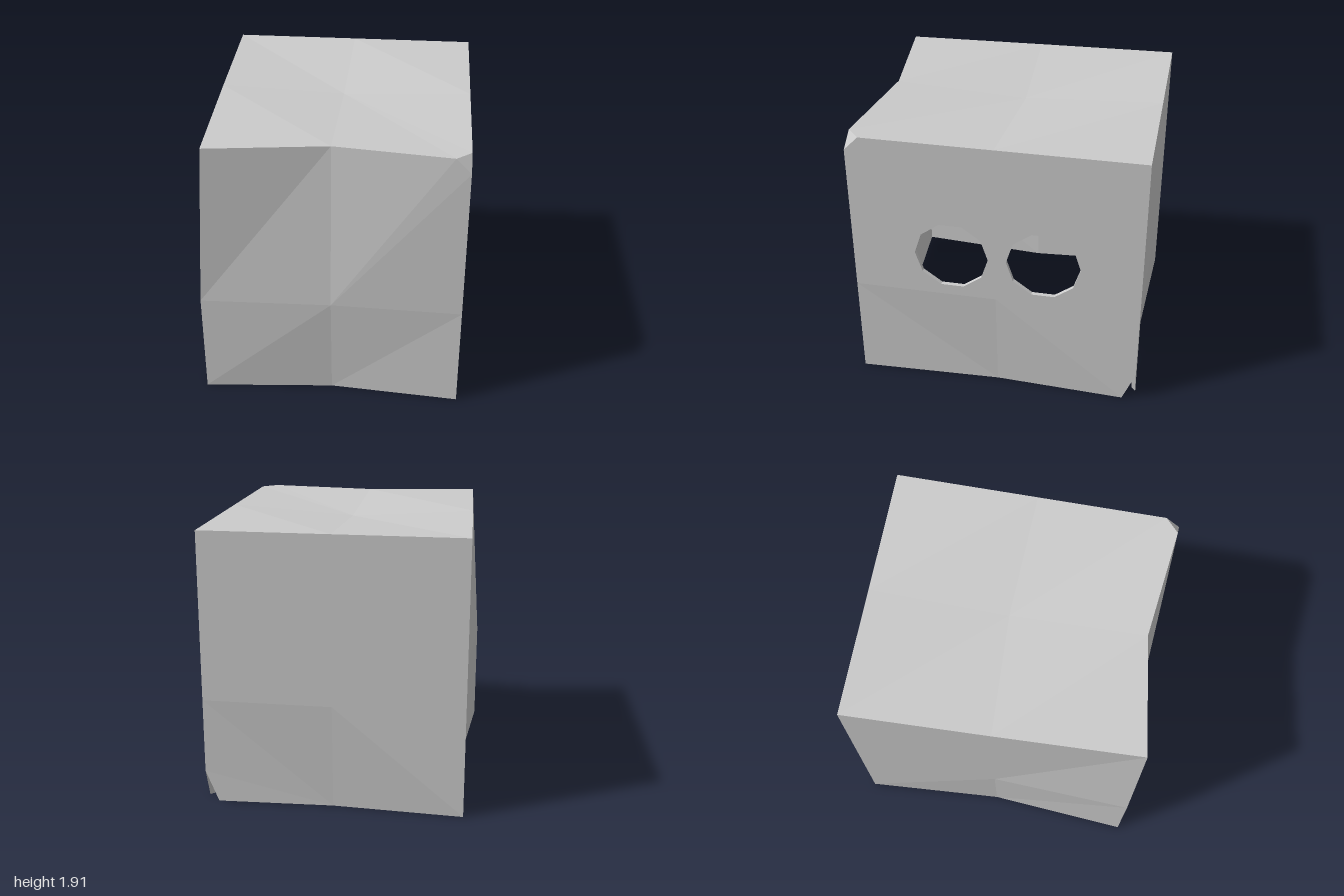
import * as THREE from 'three';

const WALL = 0.03;
const GRID = [[-0.895, 0, 0.89], [0, 0.74, 1.91], [-1, 0, 1]];

// Lattice points pushed out of the plain box, keyed by x, y, z index
const DENTS = {
  '1,2,2': [0, 1.91, 0.89], '1,1,2': [0, 0.74, 0.975], '1,0,2': [0, 0, 0.93],
  '0,2,2': [-0.82, 1.91, 1], '0,2,1': [-0.86, 1.91, 0], '0,1,1': [-0.855, 0.74, 0],
  '0,0,1': [-0.825, 0, 0], '2,0,1': [0.85, 0, 0], '1,0,0': [0, 0, -0.96],
  '1,2,1': [0, 1.86, -0.04],
};

// Cut corners: the point left on the x, y and z edge of each
const CUTS = {
  '2,2,2': [[0.79, 1.91, 0.99], [0.89, 1.81, 1], [0.89, 1.91, 0.9]],
  '2,0,0': [[0.8, 0, -1], [0.89, 0.22, -1], [0.89, 0, -0.91]],
};

const vec = (a) => new THREE.Vector3(...a);
const lattice = (id) => vec(DENTS[id.join()] || id.map((n, axis) => GRID[axis][n]));

// Matching point on the inner skin
function inset(p) {
  const shift = (n, limit) => (Math.abs(n) > limit ? n - Math.sign(n) * WALL : n);
  return new THREE.Vector3(shift(p.x, 0.75), shift(p.y, 1.8), shift(p.z, 0.75));
}

function makeMesh(name, points) {
  const geometry = new THREE.BufferGeometry().setFromPoints(points);
  geometry.computeVertexNormals();
  const material = new THREE.MeshStandardMaterial({
    color: 0xcccccc, flatShading: true, side: THREE.DoubleSide,
  });
  const mesh = new THREE.Mesh(geometry, material);
  mesh.name = name;
  return mesh;
}

// Triangle on the outer skin and its reversed twin on the inner skin
function addTriangle(out, a, b, c) {
  out.push(a, b, c, inset(a), inset(c), inset(b));
}

// Strip joining the outer and inner skins along a closed loop
function rim(name, loop) {
  const out = [];
  loop.forEach((a, i) => {
    const b = loop[(i + 1) % loop.length];
    out.push(a, b, inset(b), a, inset(b), inset(a));
  });
  return makeMesh(name, out);
}

// Outline of one wall quarter, with cut corners swapped for two points
function outline(ids) {
  return ids.flatMap((id, i) => {
    const cut = CUTS[id.join()];
    if (!cut) return [lattice(id)];
    return [ids[(i + 3) % 4], ids[(i + 1) % 4]].map(
      (other) => vec(cut[id.findIndex((n, axis) => n !== other[axis])]));
  });
}

// One wall made of four quarters, each optionally with a hole
function wall(name, axis, side, holeFor) {
  const u = (axis + 1) % 3, v = (axis + 2) % 3;
  const flat = (p) => new THREE.Vector2(p.getComponent(u), p.getComponent(v));
  const out = [];
  for (let i = 0; i < 2; i++) for (let j = 0; j < 2; j++) {
    const ids = [[i, j], [i + 1, j], [i + 1, j + 1], [i, j + 1]].map(([m, n]) => {
      const id = [0, 0, 0];
      id[axis] = side; id[u] = m; id[v] = n;
      return id;
    });
    const contour = outline(ids);
    const hole = holeFor ? holeFor(i, j) : null;
    const points = hole ? [...contour, ...hole] : contour;
    const faces = THREE.ShapeUtils.triangulateShape(
      contour.map(flat), hole ? [hole.map(flat)] : []);
    for (const face of faces) {
      const [a, b, c] = face.map((n) => points[n]);
      const normal = b.clone().sub(a).cross(c.clone().sub(a));
      const outward = normal.getComponent(axis) * (side - 1) > 0;
      if (outward) addTriangle(out, a, b, c);
      else addTriangle(out, a, c, b);
    }
  }
  return makeMesh(name, out);
}

// Ten-sided hole in the left wall
function holeLoop(z) {
  return Array.from({ length: 10 }, (_, i) => {
    const t = (i / 10) * Math.PI * 2;
    return new THREE.Vector3(0.89, 1.06 + 0.255 * Math.sin(t), z + 0.255 * Math.cos(t));
  });
}

export function createModel() {
  const group = new THREE.Group();
  group.name = 'dentedBox';
  const holes = [holeLoop(-0.33), holeLoop(0.305)];

  // Walls and top
  group.add(
    wall('leftWall', 0, 2, (i, j) => (i === 1 ? holes[j] : null)),
    wall('rightWall', 0, 0),
    wall('frontWall', 2, 2),
    wall('backWall', 2, 0),
    wall('topPanel', 1, 2),
  );

  // Filled bevel on the top front corner
  const [cx, cy, cz] = CUTS['2,2,2'].map(vec);
  const bevel = [];
  addTriangle(bevel, cx, cy, cz);
  group.add(makeMesh('cornerBevel', bevel));

  // Edges of the holes and of the open, notched bottom
  holes.forEach((loop, i) => group.add(rim(i ? 'frontHoleRim' : 'backHoleRim', loop)));
  const base = [[2, 0, 1], [2, 0, 2], [1, 0, 2], [0, 0, 2], [0, 0, 1], [0, 0, 0], [1, 0, 0]];
  group.add(rim('bottomRim', [...base.map(lattice), ...CUTS['2,0,0'].map(vec)]));
  return group;
}
